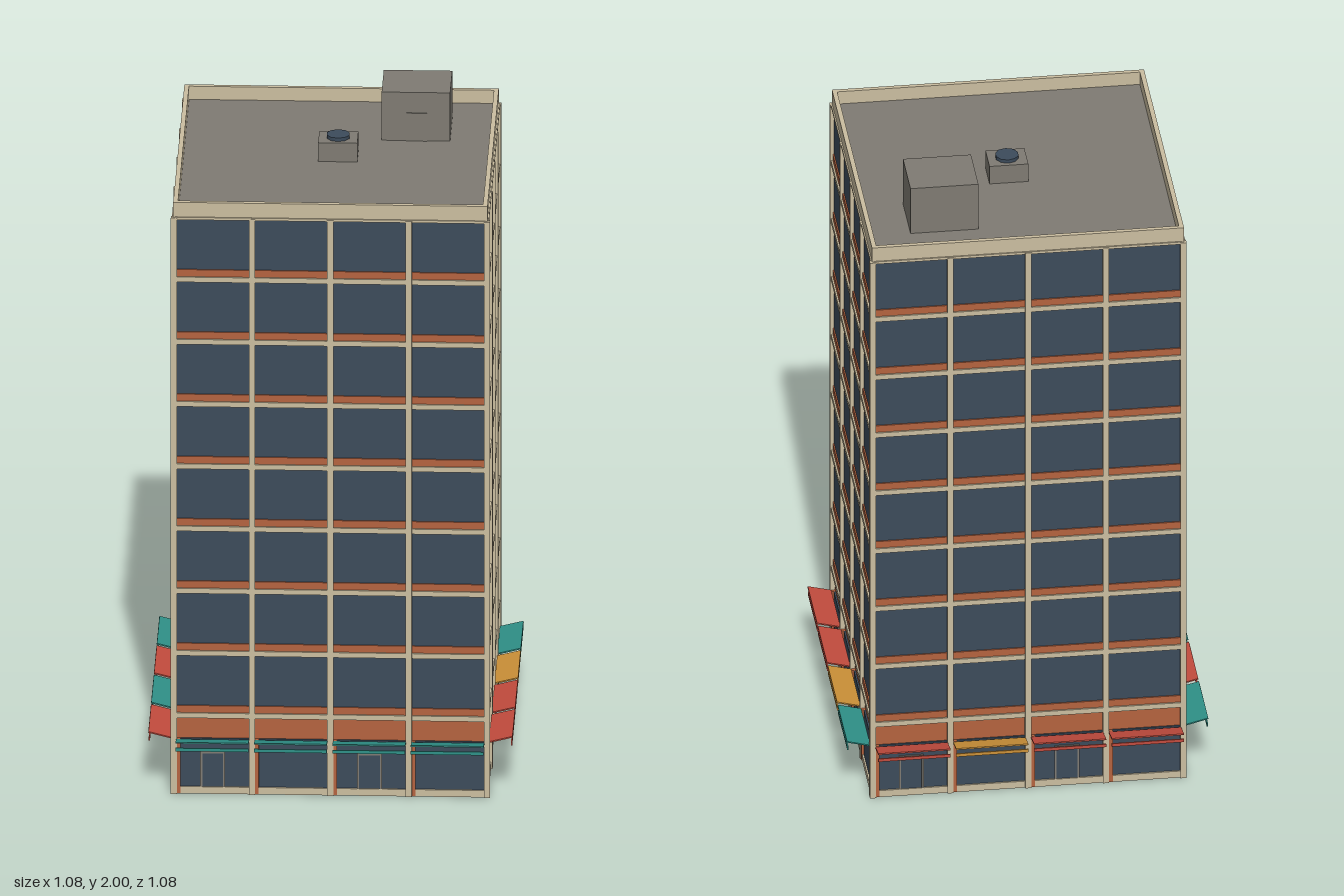
import * as THREE from 'three';

const mat = (name, color) => {
  const m = new THREE.MeshStandardMaterial({ color });
  m.name = name;
  return m;
};

export function createModel() {
  const cream = mat('cream stone', 0xcbbea0);
  const brick = mat('brick', 0xb5633f);
  const glass = mat('dark glass', 0x3c4b5b);
  const grey = mat('roof grey', 0x7f7b73);
  const teal = mat('teal canvas', 0x2f9188);
  const red = mat('red canvas', 0xc34c3e);
  const gold = mat('gold canvas', 0xcc9138);

  const model = new THREE.Group();
  model.name = 'officeTower';

  // Box given by its low and high corners
  const box = (parent, name, material, x0, x1, y0, y1, z0, z1) => {
    const mesh = new THREE.Mesh(new THREE.BoxGeometry(x1 - x0, y1 - y0, z1 - z0), material);
    mesh.position.set((x0 + x1) / 2, (y0 + y1) / 2, (z0 + z1) / 2);
    mesh.name = name;
    parent.add(mesh);
    return mesh;
  };

  const BAY = 0.2325, FLOOR = 0.199, FIRST = 0.25, TOP = 1.84, CORE = 0.458, OUT = 0.473;

  // Brick core and roof deck
  box(model, 'core', brick, -CORE, CORE, 0, TOP, -CORE, CORE);
  box(model, 'roofDeck', grey, -0.455, 0.455, TOP, 1.846, -0.455, 0.455);

  // Corner posts
  for (const sx of [-1, 1]) for (const sz of [-1, 1]) {
    const post = box(model, 'cornerPost', cream, -0.009, 0.009, 0, TOP, -0.009, 0.009);
    post.position.x = sx * (OUT - 0.009);
    post.position.z = sz * (OUT - 0.009);
  }

  // One facade, built facing +z
  function buildSide(name, awningColours) {
    const side = new THREE.Group();
    side.name = name;

    // Vertical piers
    for (let i = -1; i <= 1; i++) {
      box(side, 'pier', cream, i * BAY - 0.009, i * BAY + 0.009, 0, TOP, CORE, OUT);
    }

    // Horizontal floor bands and plinth
    for (let f = 0; f <= 8; f++) {
      const y = FIRST + f * FLOOR;
      box(side, 'floorBand', cream, -0.46, 0.46, y - 0.008, Math.min(y + 0.008, TOP + 0.002), CORE, OUT - 0.003);
    }
    box(side, 'plinth', cream, -0.46, 0.46, 0, 0.022, CORE, 0.468);

    awningColours.forEach((colour, b) => {
      const cx = (b - 1.5) * BAY;
      const x0 = cx - 0.108, x1 = cx + 0.108;

      // Windows and spandrels for each storey
      for (let f = 0; f < 8; f++) {
        const y = FIRST + f * FLOOR;
        box(side, 'spandrel', brick, x0, x1, y + 0.008, y + 0.03, CORE, 0.465);
        box(side, 'window', glass, x0, x1, y + 0.03, y + FLOOR - 0.01, CORE, 0.461);
      }

      // Shopfront beside a narrow brick jamb
      box(side, 'jamb', brick, x0, x0 + 0.012, 0.002, 0.175, CORE, 0.47);
      box(side, 'shopWindow', glass, x0 + 0.012, x1, 0.022, 0.175, CORE, 0.463);

      // Framed door in alternate bays
      if (b % 2 === 0) {
        for (const s of [-1, 1]) {
          const x = cx + s * 0.034;
          box(side, 'doorJamb', grey, x - 0.003, x + 0.003, 0.022, 0.135, 0.46, 0.468);
        }
        box(side, 'doorHead', grey, cx - 0.037, cx + 0.037, 0.129, 0.135, 0.46, 0.468);
        box(side, 'doorLeaf', glass, cx - 0.031, cx + 0.031, 0.022, 0.129, 0.46, 0.465);
      }

      // Awning tilted up outwards, with a hanging valance
      const awning = box(side, 'awning', colour, x0, x1, -0.002, 0.002, -0.036, 0.036);
      awning.position.set(cx, 0.181, 0.505);
      awning.rotation.x = -0.25;
      box(side, 'valance', colour, x0, x1, 0.163, 0.173, 0.535, 0.539);
    });

    // Parapet wall
    box(side, 'parapet', cream, -0.466, 0.466, TOP, 1.888, 0.452, 0.466);
    return side;
  }

  const sides = [
    ['frontFacade', [teal, teal, teal, teal]],
    ['leftFacade', [red, red, gold, teal]],
    ['backFacade', [red, gold, red, red]],
    ['rightFacade', [teal, red, teal, red]],
  ];
  sides.forEach(([name, colours], k) => {
    const side = buildSide(name, colours);
    side.rotation.y = k * Math.PI / 2;
    model.add(side);
  });

  // Rooftop stair house with door
  box(model, 'stairHouse', grey, 0.13, 0.333, 1.845, 2, -0.325, -0.15);
  box(model, 'stairHouseDoor', grey, 0.203, 0.264, 1.845, 1.935, -0.15, -0.146);

  // Rooftop cooling unit with fan
  box(model, 'coolingUnit', grey, -0.052, 0.064, 1.845, 1.906, -0.068, 0.025);
  const fan = new THREE.Mesh(new THREE.CylinderGeometry(0.035, 0.035, 0.012, 10), glass);
  fan.position.set(0.006, 1.911, -0.021);
  fan.name = 'coolingFan';
  model.add(fan);

  return model;
}
